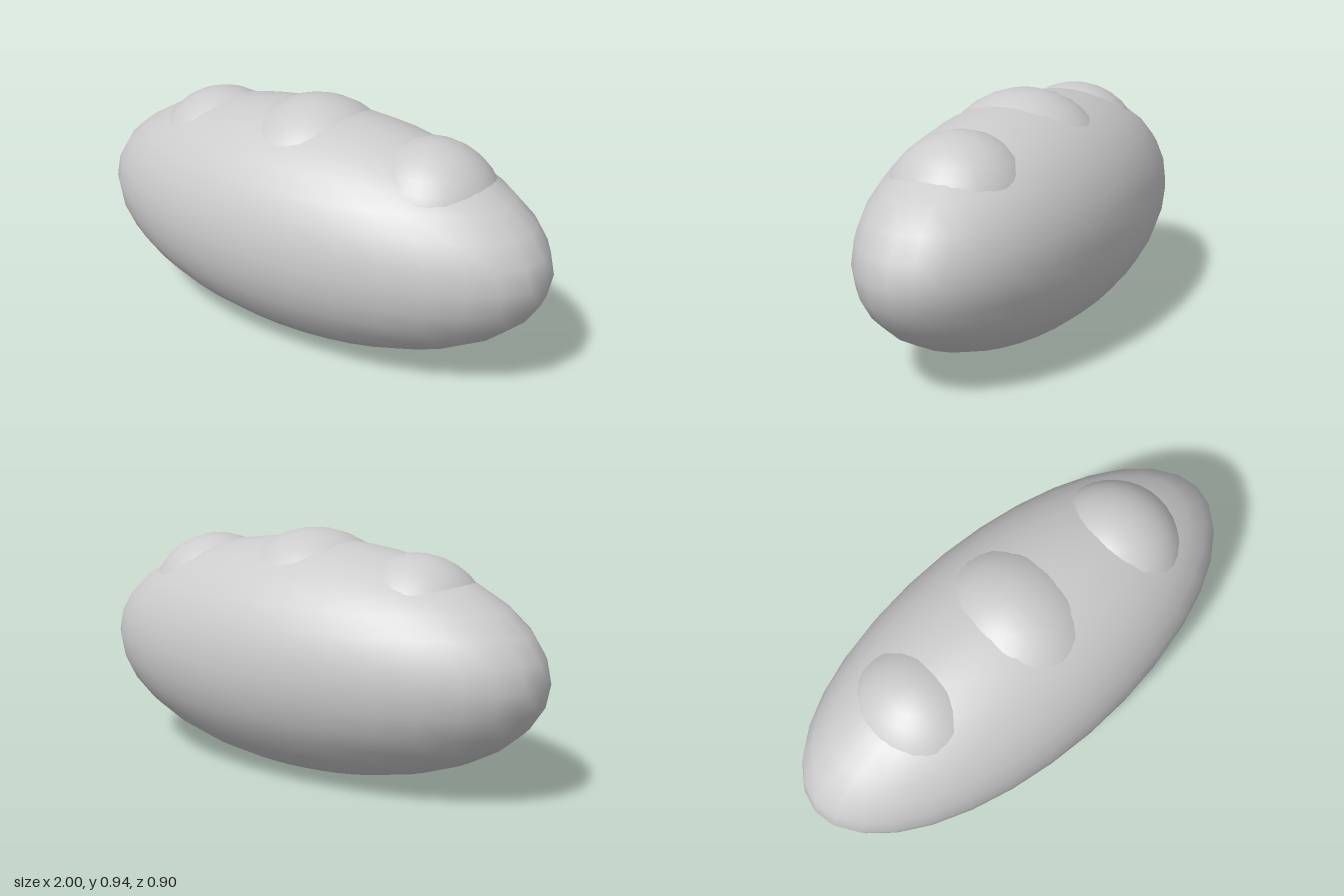
import * as THREE from 'three';

const material = new THREE.MeshStandardMaterial({ color: 0xcccccc });

// Smooth ellipsoid with the given radii and centre
function ellipsoid(name, radii, centre) {
  const geometry = new THREE.SphereGeometry(1, 32, 16);
  geometry.scale(...radii);
  const mesh = new THREE.Mesh(geometry, material);
  mesh.name = name;
  mesh.position.set(...centre);
  return mesh;
}

export function createModel() {
  const model = new THREE.Group();
  model.name = 'loaf';

  // Long rounded body
  model.add(ellipsoid('body', [1, 0.4525, 0.4525], [0, 0.4525, 0]));

  // Three bumps rising through the top: [name, radius, x, y]
  const bumps = [
    ['rightBump', 0.28, -0.465, 0.6],
    ['middleBump', 0.35, 0, 0.59],
    ['leftBump', 0.28, 0.505, 0.602],
  ];
  for (const [name, r, x, y] of bumps) {
    model.add(ellipsoid(name, [r, r, r], [x, y, 0]));
  }

  return model;
}
